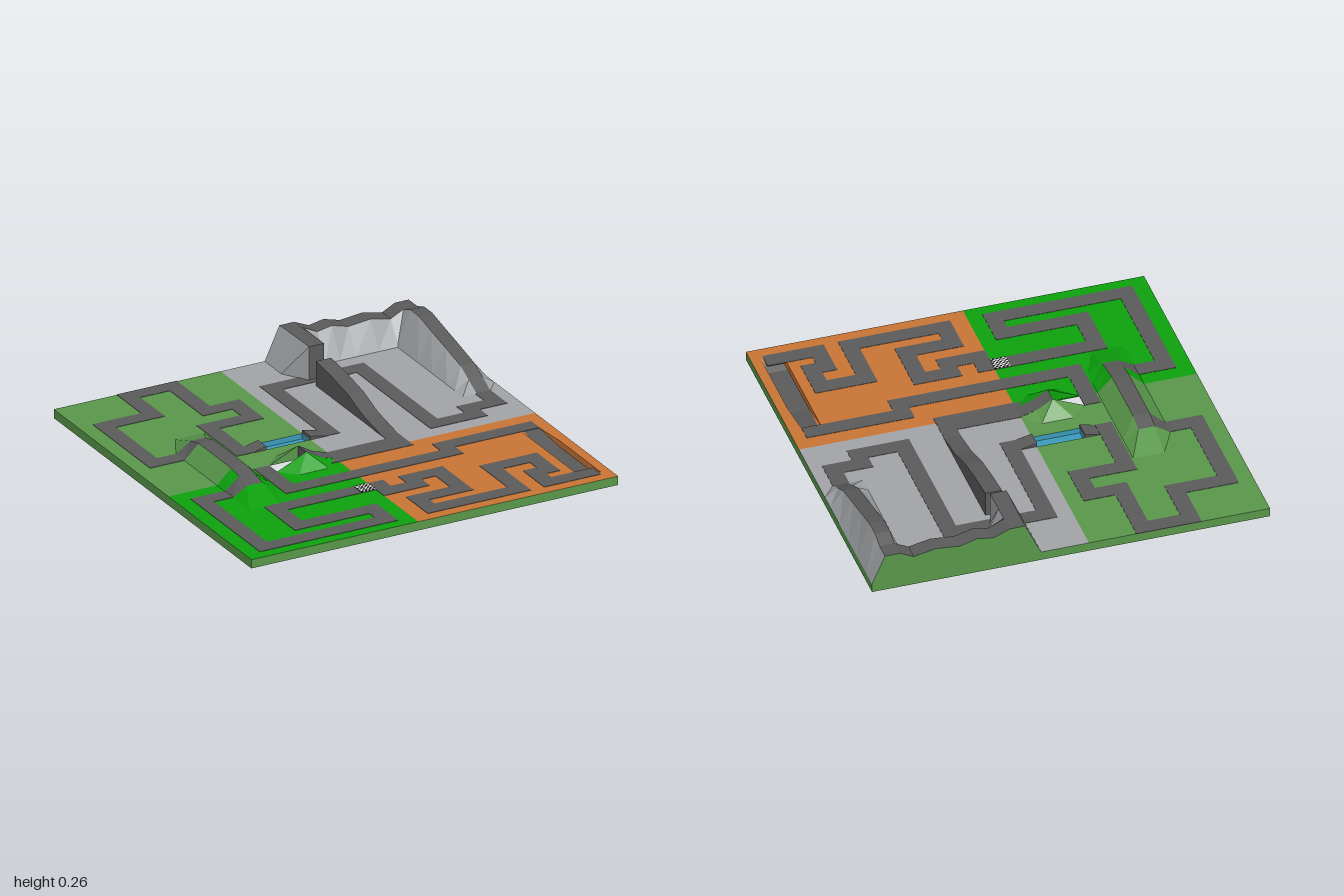
import * as THREE from 'three';
import { mergeGeometries } from 'three/addons/utils/BufferGeometryUtils.js';

const paint = (name, color) => {
  const m = new THREE.MeshStandardMaterial({ color, side: THREE.DoubleSide });
  m.name = name;
  return m;
};
const M = {
  grass: paint('meadow green', 0x58964a), lush: paint('bright green', 0x0ca00c),
  stone: paint('stone grey', 0xa0a3a6), sand: paint('desert orange', 0xc87434),
  road: paint('road grey', 0x5a5a5a), water: paint('water blue', 0x3a9aba),
  lava: paint('dark red', 0x3a0a0c), white: paint('white', 0xf0f0f0), black: paint('black', 0x1a1a1a),
};
const TOP = 0.083, BASE = 0.037, ZB = 0.985, W = 0.083;

export function createModel() {
  const group = new THREE.Group();
  const add = (name, geo, mat) => {
    const m = new THREE.Mesh(geo, mat);
    m.name = name;
    group.add(m);
    return m;
  };
  // Flat-shaded faces from corner lists of three or four points, counter-clockwise from outside
  const faces = (name, mat, list) => {
    const pos = [];
    for (const f of list)
      for (let i = 1; i < f.length - 1; i++) pos.push(...f[0], ...f[i], ...f[i + 1]);
    const g = new THREE.BufferGeometry();
    g.setAttribute('position', new THREE.Float32BufferAttribute(pos, 3));
    g.computeVertexNormals();
    return add(name, g, mat);
  };
  // Horizontal sheet with rectangular holes; rectangles are [x0, x1, z0, z1]
  const sheet = (name, mat, y, r, holes = []) => {
    const outline = (P, [x0, x1, z0, z1]) =>
      new P([[x0, -z1], [x1, -z1], [x1, -z0], [x0, -z0]].map((p) => new THREE.Vector2(...p)));
    const s = outline(THREE.Shape, r);
    s.holes = holes.map((h) => outline(THREE.Path, h));
    add(name, new THREE.ShapeGeometry(s).rotateX(-Math.PI / 2).translate(0, y, 0), mat);
  };
  const slab = (x0, x1, z0, z1, y = TOP, h = 0.004) =>
    new THREE.BoxGeometry(x1 - x0, h, z1 - z0).translate((x0 + x1) / 2, y, (z0 + z1) / 2);

  // Board: four coloured fields, rim and open underside
  const pit = [-0.41, -0.25, 0.08, 0.153], river = [-0.332, -0.092, -0.17, -0.09];
  const dip = [0.84, 0.95, 0.31, 0.9];
  sheet('meadowField', M.grass, TOP, [-1, -0.09, -ZB, 0.157], [pit, river, [-0.72, -0.51, -0.36, 0.153]]);
  sheet('lushField', M.lush, TOP, [-1, -0.09, 0.157, ZB], [[-0.72, -0.51, 0.16, 0.44]]);
  sheet('stoneField', M.stone, TOP, [-0.09, 1, -ZB, 0.157]);
  sheet('desertField', M.sand, TOP, [-0.09, 1, 0.157, ZB], [dip]);
  sheet('boardUnderside', M.grass, BASE, [-1, 1, -ZB, ZB], [[-0.83, 0.52, -0.45, 0.74]]);
  const rim = [[-1, ZB], [1, ZB], [1, -ZB], [-1, -ZB]];
  faces('boardRim', M.grass, rim.map(([x, z], i) => {
    const [u, w] = rim[(i + 1) % 4];
    return [[x, BASE, z], [u, BASE, w], [u, TOP, w], [x, TOP, z]];
  }));

  // Flat roads, each a path of [x, z] centre points
  const paths = [
    [[-0.05, 0.525], [-0.615, 0.525], [-0.615, 0.75], [-0.21, 0.75], [-0.21, 0.885], [-0.88, 0.885],
      [-0.88, 0.275], [-0.77, 0.275]],
    [[-0.77, -0.21], [-0.88, -0.21], [-0.88, -0.7], [-0.615, -0.7], [-0.615, -0.945], [-0.37, -0.945],
      [-0.37, -0.615], [-0.21, -0.615], [-0.21, -0.45], [-0.45, -0.45], [-0.45, -0.13]],
    [[0.03, -0.13], [0.03, -0.7], [0.515, -0.7], [0.515, 0.035], [0.745, 0.035], [0.745, -0.045],
      [0.895, -0.045], [0.895, -0.2]],
    [[0.27, 0], [0.27, 0.12], [-0.06, 0.12]],
    [[-0.45, 0.12], [-0.45, 0.36], [0.435, 0.36], [0.435, 0.275], [0.895, 0.275]],
    [[0.895, 0.94], [0.895, 0.885], [0.67, 0.885], [0.67, 0.755], [0.745, 0.755], [0.745, 0.605],
      [0.515, 0.605], [0.515, 0.885], [0.035, 0.885], [0.035, 0.75], [0.275, 0.75], [0.275, 0.525],
      [0.115, 0.525], [0.115, 0.605], [-0.05, 0.605], [-0.05, 0.525]],
  ];
  paths[5].shift();
  const strips = [slab(-0.13, 0.312, 0.155, 0.2)];
  for (const p of paths)
    for (let i = 1; i < p.length; i++) {
      const [a, b] = [p[i - 1], p[i]], h = W / 2;
      strips.push(slab(Math.min(a[0], b[0]) - h, Math.max(a[0], b[0]) + h,
        Math.min(a[1], b[1]) - h, Math.max(a[1], b[1]) + h));
    }
  add('roads', mergeGeometries(strips), M.road);

  // Chequered start line
  const n = 8, c = 0.08 / n, checks = [[], []];
  for (let i = 0; i < n; i++)
    for (let j = 0; j < n; j++)
      checks[(i + j) % 2].push(slab(-0.17 + i * c, -0.17 + (i + 1) * c,
        0.485 + j * c, 0.485 + (j + 1) * c, TOP + 0.003));
  add('startLineLight', mergeGeometries(checks[0]), M.white);
  add('startLineDark', mergeGeometries(checks[1]), M.black);

  // Ridge along z with a road on top; stations [z, y] run from front to back
  const ridge = (name, [xa, xb, xc, xd], st, sideMat, leftMat = sideMat) => {
    for (let i = 1; i < st.length; i++) {
      const [z0, y0] = st[i - 1], [z1, y1] = st[i];
      const strip = (x0, h0, x1, h1) => [[x0, h0 ? y0 : TOP, z0], [x1, h1 ? y0 : TOP, z0],
        [x1, h1 ? y1 : TOP, z1], [x0, h0 ? y1 : TOP, z1]];
      faces(name + 'LeftBank', leftMat(z0), [strip(xa, 0, xb, 1)]);
      faces(name + 'RightBank', sideMat(z0), [strip(xc, 1, xd, 0)]);
      faces(name + 'Top', z0 > 0.32 || (z0 <= -0.25 && xa < 0) ? sideMat(z0) : M.road, [strip(xb, 1, xc, 1)]);
    }
  };
  // Meadow hill crossed by the road
  const hillColor = (z) => (z > 0.17 ? M.lush : M.grass);
  ridge('hill', [-0.735, -0.657, -0.574, -0.5],
    [[0.48, TOP], [0.317, 0.128], [0.235, 0.145], [0.157, 0.156], [-0.168, 0.156], [-0.252, 0.135], [-0.4, TOP]],
    hillColor, (z) => (z === 0.317 || z === -0.168 ? M.road : hillColor(z)));

  // Mountain road climbing along the right edge
  ridge('mountainRidge', [0.785, 0.86, 0.935, 1],
    [[-0.17, TOP], [-0.25, 0.125], [-0.33, 0.165], [-0.48, 0.2], [-0.62, 0.23], [-0.75, 0.26], [-0.83, 0.26],
      [-0.9, 0.235], [-ZB, 0.235]], () => M.stone);

  // Mountain wall across the back, with the road on its crest
  const crest = [[0.31, 0.255], [0.39, 0.22], [0.47, 0.235], [0.56, 0.21], [0.68, 0.222], [0.79, 0.2], [0.86, 0.235]];
  const spans = crest.slice(1).map((b, i) => [crest[i], b]);
  faces('mountainWall', M.stone, spans.map(([[x0, y0], [x1, y1]]) =>
    [[x0, TOP, -0.82], [x1, TOP, -0.82], [x1, y1, -0.9], [x0, y0, -0.9]]));
  faces('crestRoad', M.road, spans.map(([[x0, y0], [x1, y1]]) =>
    [[x0, y0, -0.9], [x1, y1, -0.9], [x1, y1, -ZB], [x0, y0, -ZB]]));
  const back = [[0.15, TOP], [0.23, 0.255], ...crest, [0.935, 0.235], [1, TOP]];
  faces('mountainBack', M.grass, back.slice(1).map(([x1, y1], i) =>
    [[x1, TOP, -ZB], [back[i][0], TOP, -ZB], [back[i][0], back[i][1], -ZB], [x1, y1, -ZB]]));

  // Cliff where the road jumps off the mountain
  const H = 0.26;
  faces('cliffTop', M.road, [[[0.23, H, -0.69], [0.312, H, -0.69], [0.312, 0.255, -ZB], [0.23, 0.255, -ZB]]]);
  faces('cliffFront', M.road, [[[0.23, TOP, -0.69], [0.312, TOP, -0.69], [0.312, H, -0.69], [0.23, H, -0.69]]]);
  faces('cliffBanks', M.stone, [
    [[0.15, TOP, -ZB], [0.15, TOP, -0.82], [0.23, H, -0.82], [0.23, 0.255, -ZB]],
    [[0.15, TOP, -0.82], [0.23, TOP, -0.69], [0.23, H, -0.69], [0.23, H, -0.82]],
    [[0.312, TOP, -0.69], [0.39, TOP, -0.82], [0.312, H, -0.82], [0.312, H, -0.69]],
    [[0.39, TOP, -0.82], [0.39, 0.22, -0.9], [0.312, H, -0.9], [0.312, H, -0.82]],
  ]);

  // Landing ramp running down from the cliff, extruded from its side profile
  const rampSide = new THREE.Shape([[-0.04, TOP], [0.62, TOP], [0.62, 0.212], [0.47, 0.195], [0.3, 0.165], [0.15, 0.115]]
    .map((p) => new THREE.Vector2(...p)));
  add('landingRamp', new THREE.ExtrudeGeometry(rampSide, { depth: W, bevelEnabled: false })
    .rotateY(Math.PI / 2).translate(0.23, 0, 0), M.road);

  // Jump ramp with grassy banks beside the dark pit
  const P = 0.155;
  faces('jumpRamp', M.road, [
    [[-0.25, P, 0.16], [-0.17, 0.108, 0.16], [-0.17, 0.108, 0.08], [-0.25, P, 0.08]],
    [[-0.17, 0.108, 0.16], [-0.09, TOP + 0.002, 0.16], [-0.09, TOP + 0.002, 0.08], [-0.17, 0.108, 0.08]],
    [[-0.25, TOP, 0.08], [-0.25, TOP, 0.16], [-0.25, P, 0.16], [-0.25, P, 0.08]],
  ]);
  for (const [name, mat, z, out] of [['frontBank', M.lush, 0.16, 0.24], ['backBank', M.grass, 0.08, 0]]) {
    const peak = [-0.25, P, z], mid = [-0.17, 0.108, z];
    const base = [[-0.41, TOP, z], [-0.33, TOP, out], [-0.17, TOP, out], mid];
    const list = [0, 1, 2].map((i) => [base[i], base[i + 1], peak]);
    list.push([[-0.17, TOP, out], [-0.09, TOP, z], mid], [[-0.25, TOP, z], base[0], peak]);
    faces(name, mat, out > z ? list : list.map((f) => f.reverse()));
  }
  sheet('pitFloor', M.lava, 0.03, [-0.41, -0.25, 0.08, 0.157]);

  // River with its bed and the two small take-off ramps
  const [rx0, rx1, rz0, rz1] = river;
  sheet('water', M.water, 0.055, river);
  const bank = [[rx0, rz0], [rx1, rz0], [rx1, rz1], [rx0, rz1]];
  faces('riverWalls', M.water, bank.map(([x, z], i) => {
    const [u, w] = bank[(i + 1) % 4];
    return [[x, BASE, z], [u, BASE, w], [u, TOP, w], [x, TOP, z]];
  }));
  const bed = new THREE.Shape([[rx0, BASE], [-0.25, 0.002], [-0.21, 0], [-0.17, 0.006], [rx1, BASE]]
    .map((p) => new THREE.Vector2(...p)));
  add('riverBed', new THREE.ExtrudeGeometry(bed, { depth: rz1 - rz0, bevelEnabled: false })
    .translate(0, 0, rz0), M.road);
  for (const [x0, x1] of [[-0.41, rx0], [0, rx1]]) {
    const wedge = new THREE.Shape([[x0, TOP], [x1, TOP], [x1, 0.102]].map((p) => new THREE.Vector2(...p)));
    add('riverRamp', new THREE.ExtrudeGeometry(wedge, { depth: W, bevelEnabled: false })
      .translate(0, 0, rz0), M.road);
  }

  // Sunken stretch of desert road
  const dz = [[0.31, TOP, 0.855, 0.935], [0.49, 0.05, 0.84, 0.95], [0.83, 0.05, 0.84, 0.95], [0.9, TOP, 0.855, 0.935]];
  for (let i = 1; i < 4; i++) {
    const [z0, y0, a0, b0] = dz[i - 1], [z1, y1, a1, b1] = dz[i];
    faces('sunkenRoad', M.road, [[[a0, y0, z0], [a1, y1, z1], [b1, y1, z1], [b0, y0, z0]]]);
    faces('sunkenWalls', M.sand, [
      [[0.84, TOP, z0], [0.84, TOP, z1], [a1, y1, z1], [a0, y0, z0]],
      [[0.95, TOP, z1], [0.95, TOP, z0], [b0, y0, z0], [b1, y1, z1]],
    ]);
  }
  return group;
}
